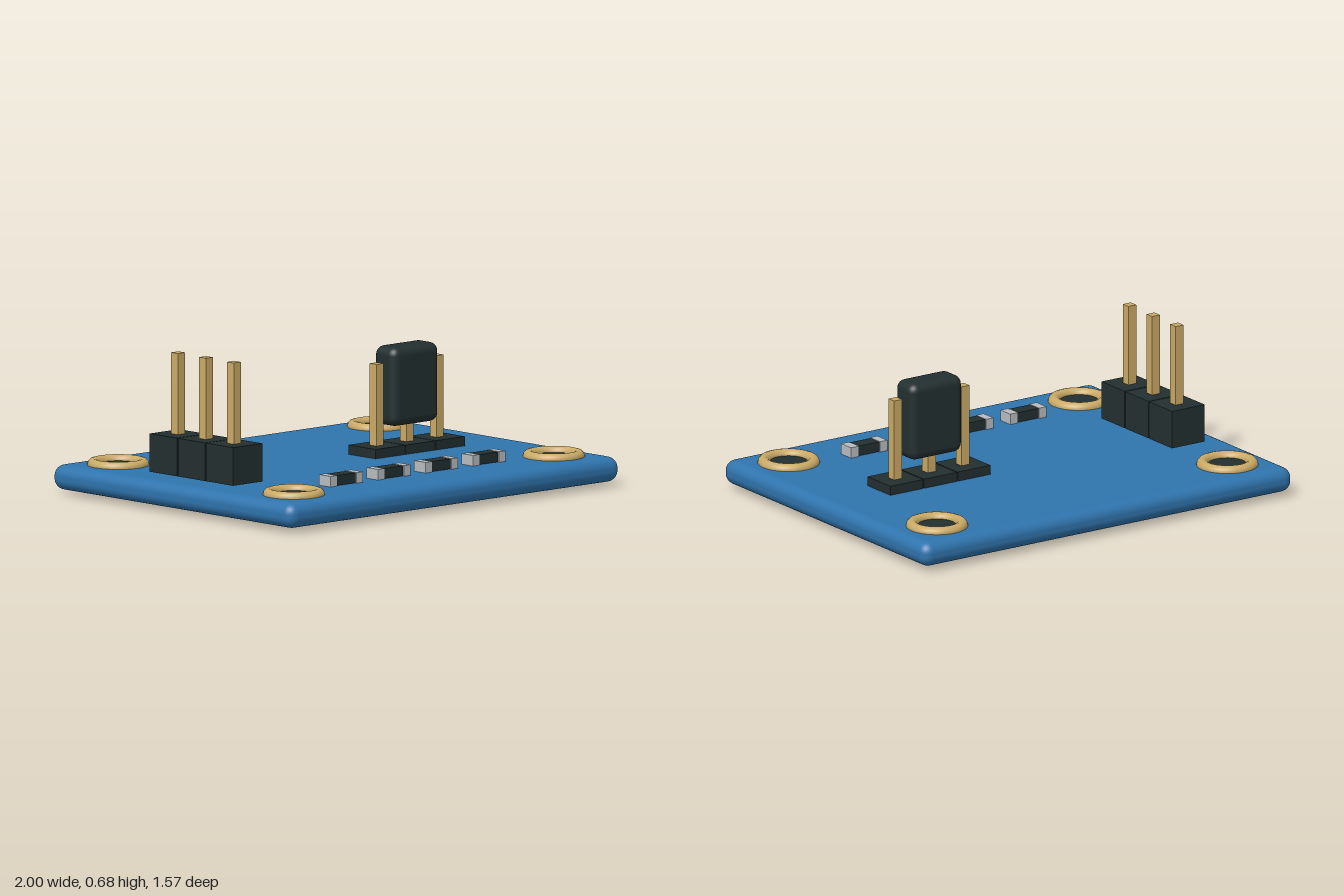
import * as THREE from 'three';
import { RoundedBoxGeometry } from 'three/addons/geometries/RoundedBoxGeometry.js';

const mat = (name, color) => {
  const m = new THREE.MeshStandardMaterial({ color });
  m.name = name;
  return m;
};

export function createModel() {
  const blue = mat('boardBlue', 0x2f74ad);
  const gold = mat('brass', 0xcaaa66);
  const dark = mat('blackPlastic', 0x232f30);
  const silver = mat('solder', 0xb9bdc1);

  const model = new THREE.Group();
  model.name = 'circuitBoard';

  const add = (parent, name, geometry, material, x, y, z) => {
    const mesh = new THREE.Mesh(geometry, material);
    mesh.name = name;
    mesh.position.set(x, y, z);
    parent.add(mesh);
    return mesh;
  };
  const group = (name, x, z) => {
    const g = new THREE.Group();
    g.name = name;
    g.position.set(x, 0, z);
    model.add(g);
    return g;
  };

  // Board with rounded edges
  add(model, 'board', new RoundedBoxGeometry(2, 0.112, 1.565, 5, 0.05), blue, 0, 0.076, 0);

  // Brass-ringed mounting holes at the corners
  const ringGeo = new THREE.TorusGeometry(0.111, 0.027, 12, 40).rotateX(Math.PI / 2);
  const holeGeo = new THREE.CylinderGeometry(0.1, 0.1, 0.01, 40);
  for (const x of [-0.785, 0.785]) {
    for (const z of [-0.57, 0.57]) {
      const hole = group('mountingHole', x, z);
      add(hole, 'holeRing', ringGeo, gold, 0, 0.134, 0);
      add(hole, 'holeFace', holeGeo, dark, 0, 0.131, 0);
    }
  }

  // Rows of three pins in plastic blocks, laid out along x
  const pinRow = (name, x, z, bottom, top, pinTop) => {
    const row = group(name, x, z);
    const h = top - bottom;
    const pinBottom = bottom + 0.02;
    for (const i of [-1, 0, 1]) {
      add(row, 'pinBlock', new THREE.BoxGeometry(0.177, h, 0.177), dark, i * 0.182, bottom + h / 2, 0);
      add(row, 'pin', new THREE.BoxGeometry(0.043, pinTop - pinBottom, 0.043), gold,
        i * 0.182, (pinTop + pinBottom) / 2, 0);
    }
    return row;
  };
  pinRow('sideHeader', -0.785, 0, 0.145, 0.316, 0.68).rotation.y = Math.PI / 2;
  const jumperHeader = pinRow('jumperHeader', 0.427, 0, 0, 0.174, 0.54);

  // Cap bridging the middle of the jumper header
  add(jumperHeader, 'jumperCap', new RoundedBoxGeometry(0.282, 0.354, 0.142, 4, 0.04), dark, 0, 0.432, 0);

  // Surface-mounted chips along the front edge
  for (let i = 0; i < 4; i++) {
    const chip = group('chipResistor', -0.433 + i * 0.287, 0.497);
    add(chip, 'chipBody', new THREE.BoxGeometry(0.12, 0.045, 0.068), dark, 0, 0.157, 0);
    for (const s of [-1, 1]) {
      add(chip, 'chipTerminal', new THREE.BoxGeometry(0.04, 0.048, 0.076), silver, s * 0.078, 0.157, 0);
    }
  }

  return model;
}
